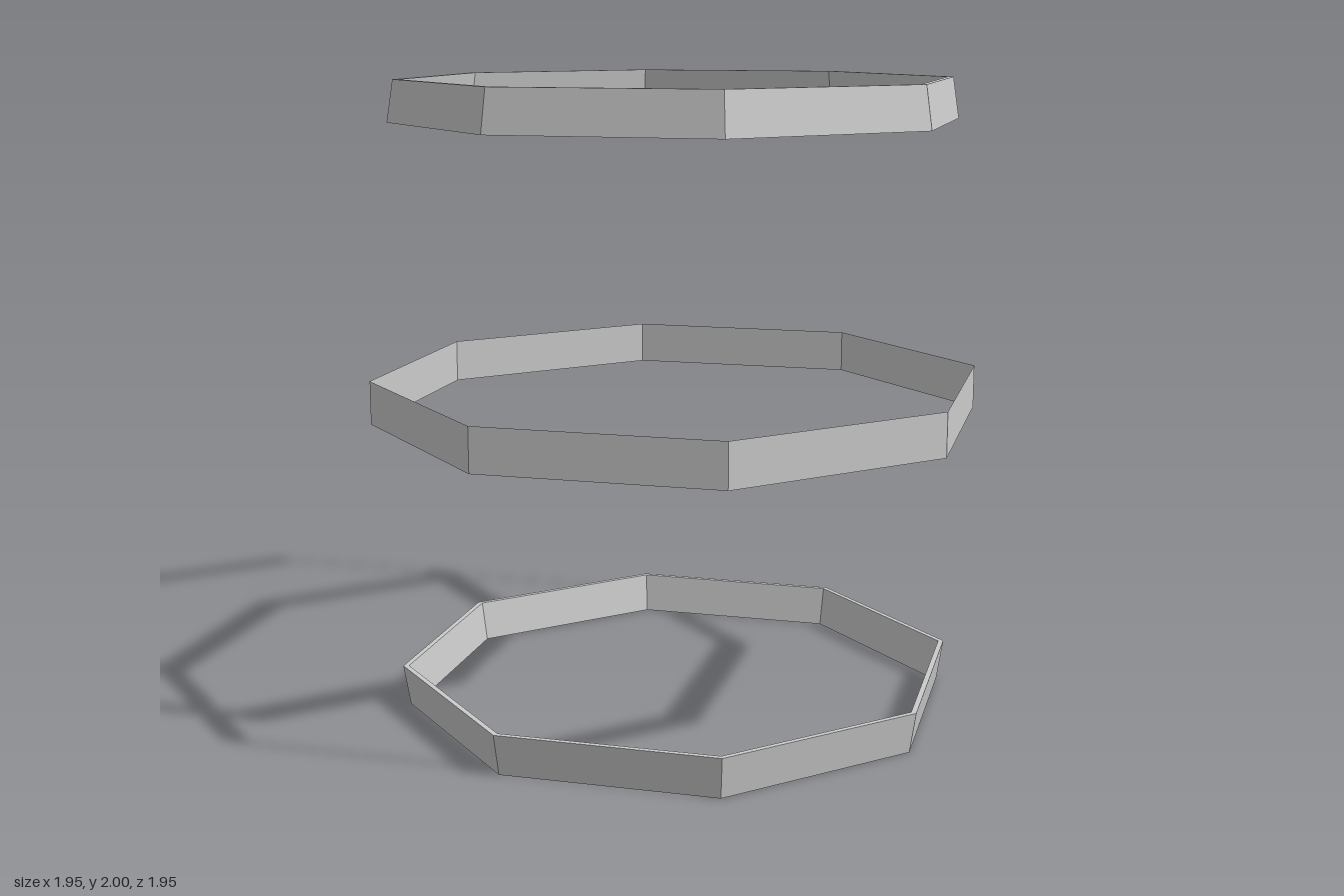
import * as THREE from 'three';

const SIDES = 8;

// Spins a radius/height profile into a faceted octagonal hoop, corners on the axes.
function hoop(name, profile, side) {
  const points = profile.map(([r, y]) => new THREE.Vector2(r, y));
  const material = new THREE.MeshStandardMaterial({ color: 0xcccccc, flatShading: true, side });
  const mesh = new THREE.Mesh(new THREE.LatheGeometry(points, SIDES), material);
  mesh.name = name;
  return mesh;
}

// Solid band with sloping walls: outer wall up, across the rim, inner wall down.
function slopedHoop(name, y0, y1, r0, r1) {
  const t = 0.018;
  return hoop(name, [[r0, y0], [r1, y1], [r1 - t, y1], [r0 - t, y0], [r0, y0]], THREE.FrontSide);
}

export function createModel() {
  const group = new THREE.Group();
  group.name = 'stackedHoops';
  group.add(
    slopedHoop('lowerHoop', 0, 0.13, 0.877, 0.898),
    // The middle hoop is a thin upright sheet
    hoop('middleHoop', [[0.975, 0.931], [0.975, 1.069]], THREE.DoubleSide),
    slopedHoop('upperHoop', 1.87, 2, 0.898, 0.877),
  );
  return group;
}
